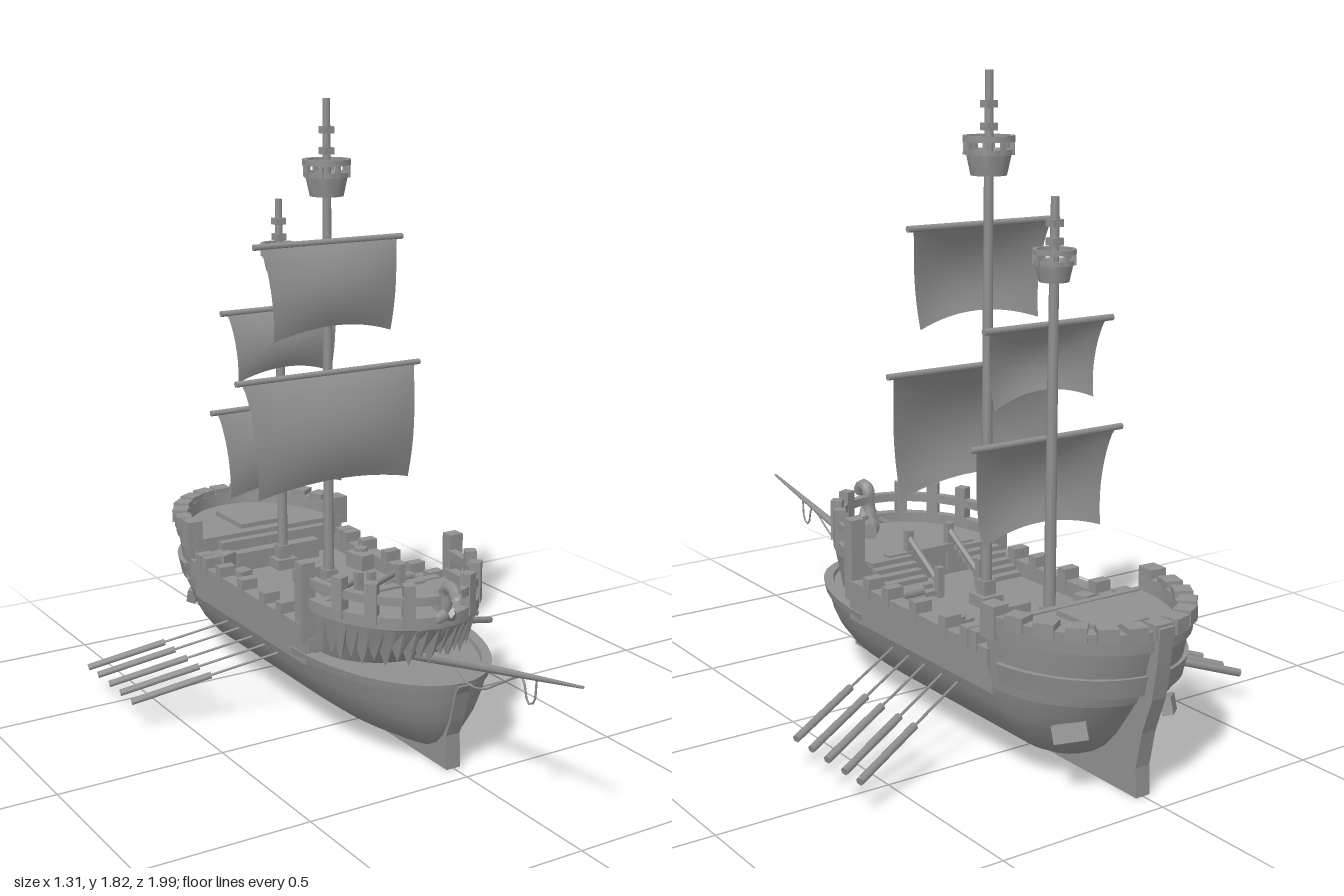
import * as THREE from 'three';
import { toCreasedNormals } from 'three/addons/utils/BufferGeometryUtils.js';

const grey = new THREE.MeshStandardMaterial({ color: 0x909090, side: THREE.DoubleSide });
grey.name = 'plain grey';
const PI = Math.PI, H = PI / 2;

export function createModel() {
  const ship = new THREE.Group();
  ship.name = 'sailingShip';

  const add = (name, geo, x = 0, y = 0, z = 0, parent = ship) => {
    const m = new THREE.Mesh(geo, grey);
    m.name = name;
    m.position.set(x, y, z);
    parent.add(m);
    return m;
  };
  const box = (name, w, h, d, x, y, z, ry = 0) => {
    const m = add(name, new THREE.BoxGeometry(w, h, d), x, y, z);
    m.rotation.y = ry;
    return m;
  };
  // straight bar between two points
  const bar = (name, a, b, r0, r1 = r0, sides = 8) => {
    const p = new THREE.Vector3(...a), q = new THREE.Vector3(...b);
    const m = add(name, new THREE.CylinderGeometry(r1, r0, p.distanceTo(q), sides));
    m.position.copy(p).lerp(q, 0.5);
    m.quaternion.setFromUnitVectors(new THREE.Vector3(0, 1, 0), q.sub(p).normalize());
    return m;
  };
  // part of an ellipse in plan; angle 0 points to the bow
  const arc = (w, d, zc, y, a0, a1, n = 24) => Array.from({ length: n + 1 }, (_, i) => {
    const a = a0 + (a1 - a0) * i / n;
    return [w * Math.sin(a), y, zc + d * Math.cos(a)];
  });
  // skin over rows of points
  const loft = (rows, crease = 0.6) => {
    const n = rows[0].length, idx = [];
    for (let j = 0; j < rows.length - 1; j++) for (let i = 0; i < n - 1; i++) {
      const a = j * n + i, b = a + 1, c = a + n, d = c + 1;
      idx.push(a, b, d, a, d, c);
    }
    const g = new THREE.BufferGeometry();
    g.setAttribute('position', new THREE.Float32BufferAttribute(rows.flat(2), 3));
    g.setIndex(idx);
    return toCreasedNormals(g, crease);
  };
  const floor = ring => loft([ring, ring.map(([, y, z]) => [0, y, z])]);
  // thick curved wall, leaning outward by lean
  const wall = (w, d, zc, y0, y1, t, lean, a0, a1) => loft(
    [[0, y0], [lean, y1], [lean - t, y1], [-t, y0], [0, y0]].map(([o, y]) => arc(w + o, d + o, zc, y, a0, a1)));

  // Hull: plan outlines stacked by height
  const ring = (y, w, zf, zb) => {
    const r = [...arc(w, zf, 0, y, -H, H), ...arc(w, -0.62 - zb, -0.62, y, H, 3 * H)];
    return [...r, r[0]];
  };
  const levels = [[0.03, 0.03, 0.31, -0.66], [0.04, 0.08, 0.35, -0.7], [0.065, 0.13, 0.39, -0.75], [0.1, 0.175, 0.42, -0.8],
    [0.15, 0.217, 0.445, -0.845], [0.2, 0.243, 0.46, -0.88], [0.26, 0.26, 0.475, -0.92]].map(l => ring(...l));
  add('hull', loft(levels, 1));
  add('hullBottom', floor(levels[0]));
  add('bowDeck', floor(levels[6]));
  add('bowRail', wall(0.265, 0.48, 0, 0.25, 0.273, 0.03, 0.005, -H, H));

  // Keel with stem and stern post
  const keel = new THREE.Shape([[0.49, 0.265], [0.475, 0.24], [0.45, 0.15], [0.43, 0.1], [0.435, 0], [-0.925, 0], [-0.92, 0.08],
    [-0.94, 0.18], [-0.975, 0.28], [-0.99, 0.38], [-1, 0.475], [-0.96, 0.475], [-0.93, 0.36], [-0.9, 0.24], [-0.84, 0.15],
    [-0.7, 0.04], [0.32, 0.04], [0.4, 0.1], [0.45, 0.265]].map(p => new THREE.Vector2(...p)));
  const kg = new THREE.ExtrudeGeometry(keel, { depth: 0.046, bevelEnabled: false });
  kg.rotateY(-H);
  add('keel', kg, 0.023, 0, 0);

  // Waist: deck, bulwarks and rail clamps
  box('mainDeck', 0.52, 0.04, 0.72, 0, 0.3, -0.28);
  for (const s of [-1, 1]) {
    box('bulwark', 0.025, 0.09, 0.7, s * 0.252, 0.285, -0.28);
    box('rail', 0.045, 0.055, 0.7, s * 0.258, 0.338, -0.28);
    for (const z of [-0.57, -0.53, -0.43, -0.29, -0.15, -0.05]) box('railClamp', 0.052, 0.055, 0.034, s * 0.258, 0.37, z);
  }

  // Stern castle
  const stern = [[0.255, 0.261, 0.3], [0.33, 0.27, 0.328], [0.42, 0.277, 0.352], [0.465, 0.28, 0.362]];
  add('sternWall', loft(stern.map(([y, w, d]) => arc(w, d, -0.62, y, H, 3 * H))));
  add('sternBelt', wall(0.275, 0.328, -0.62, 0.285, 0.34, 0.02, 0.012, H + 0.15, 3 * H - 0.15));
  add('sternRail', wall(0.283, 0.36, -0.62, 0.41, 0.465, 0.045, 0.004, H, 3 * H));
  add('sternDeck', floor(arc(0.276, 0.35, -0.62, 0.425, H, 3 * H)));
  box('sternBulkhead', 0.53, 0.13, 0.02, 0, 0.365, -0.62);
  for (let i = 0; i <= 12; i++) {
    const a = H + 0.06 + (PI - 0.12) * i / 12, end = i === 0 || i === 12;
    box('sternBattlement', 0.055, end ? 0.09 : 0.04, 0.05, 0.267 * Math.sin(a), end ? 0.445 : 0.462,
      -0.62 + 0.345 * Math.cos(a), a);
  }
  box('sternHatch', 0.16, 0.016, 0.18, 0, 0.432, -0.75);
  box('sternBench', 0.38, 0.03, 0.035, 0, 0.4, -0.6);
  box('sternStep', 0.3, 0.06, 0.04, 0, 0.35, -0.575);
  for (const s of [-1, 1]) {
    const hatch = box('sternPort', 0.09, 0.045, 0.03, s * 0.165, 0.18, -0.83, s * -0.75);
    hatch.rotation.x = 0.3;
  }

  // Forecastle with a ragged trim under its overhang
  const fore = [[0.265, 0.205, 0.19], [0.31, 0.222, 0.23], [0.36, 0.238, 0.28], [0.41, 0.247, 0.32], [0.43, 0.25, 0.33]];
  add('forecastleWall', loft(fore.map(([y, w, d]) => arc(w, d, 0.06, y, -H, H))));
  const trimTop = arc(0.253, 0.325, 0.06, 0.4, -H, H, 48);
  const trimLow = arc(0.238, 0.275, 0.06, 0.34, -H, H, 48).map(([x, y, z], i) => [x, y - [0, 0.045, 0.015, 0.06][i % 4], z]);
  add('raggedTrim', loft([trimLow, trimTop]));
  add('forecastleRim', wall(0.255, 0.335, 0.06, 0.405, 0.44, 0.03, 0, -H, H));
  add('forecastleDeck', floor(arc(0.245, 0.315, 0.06, 0.41, -H, H)));
  add('forecastleHandrail', wall(0.252, 0.335, 0.06, 0.475, 0.5, 0.025, 0, -H, H));
  box('forecastleBulkhead', 0.48, 0.14, 0.02, 0, 0.34, 0.06);
  for (const s of [-1, 1]) {
    box('cornerPost', 0.045, 0.24, 0.04, s * 0.255, 0.425, 0.055);
    for (const a of [0.42, 0.8, 1.15]) {
      box('railPost', 0.034, 0.12, 0.034, s * 0.243 * Math.sin(a), 0.475, 0.06 + 0.322 * Math.cos(a), s * a);
    }
    // stairs down to the waist
    for (let i = 0; i < 6; i++) box('stairTread', 0.14, 0.014, 0.028, s * 0.15, 0.335 + i * 0.014, -0.1 + i * 0.026);
    bar('stairRail', [s * 0.072, 0.36, -0.11], [s * 0.072, 0.46, 0.05], 0.009);
    box('stairPost', 0.022, 0.1, 0.022, s * 0.072, 0.36, -0.11);
    box('stairPost', 0.022, 0.14, 0.022, s * 0.072, 0.41, 0.05);
  }
  box('stairLanding', 0.3, 0.016, 0.03, 0, 0.41, 0.05);

  // Curled figurehead and bowsprit with slack rope
  const tube = (name, pts, r) => add(name, new THREE.TubeGeometry(
    new THREE.CatmullRomCurve3(pts.map(([y, z]) => new THREE.Vector3(0, y, z))), 28, r, 7));
  tube('figurehead', [[0.29, 0.27], [0.37, 0.35], [0.46, 0.385], [0.515, 0.39], [0.525, 0.42], [0.5, 0.44]], 0.02);
  for (const s of [-1, 1]) bar('figureheadWing', [0, 0.45, 0.4], [s * 0.11, 0.35, 0.31], 0.02, 0.004);
  bar('bowsprit', [0, 0.272, 0.22], [0, 0.435, 0.985], 0.02, 0.004);
  tube('bowspritRope', [[0.39, 0.8], [0.325, 0.79], [0.315, 0.765], [0.375, 0.74], [0.33, 0.65], [0.285, 0.57], [0.275, 0.5],
    [0.31, 0.43]], 0.003);

  // Masts with lookout baskets
  const mast = (z, top, nestY, r) => {
    bar('mast', [0, 0.31, z], [0, nestY + 0.02, z], 0.017, 0.013, 8);
    bar('topMast', [0, nestY, z], [0, top, z], 0.013, 0.011, 8);
    box('mastFoot', 0.07, 0.035, 0.07, 0, 0.335, z);
    box('mastCollar', 0.04, 0.07, 0.04, 0, 0.36, z);
    for (const d of [0.13, 0.19]) box('topMastCollar', 0.034, 0.02, 0.034, 0, nestY + d * r / 0.07, z);
    const k = r / 0.07;
    const cup = [[0, 0], [0.05, 0], [0.062, 0.055], [0.066, 0.055], [0.066, 0.07], [0.056, 0.07], [0.045, 0.015], [0, 0.015]]
      .map(([x, y]) => new THREE.Vector2(x * k, y * k));
    add('lookoutBasket', toCreasedNormals(new THREE.LatheGeometry(cup, 16), 0.6), 0, nestY, z);
    const rail = [[0.06, 0.09], [0.072, 0.09], [0.072, 0.107], [0.06, 0.107], [0.06, 0.09]]
      .map(([x, y]) => new THREE.Vector2(x * k, y * k));
    add('lookoutRail', toCreasedNormals(new THREE.LatheGeometry(rail, 16), 0.6), 0, nestY, z);
    for (let i = 0; i < 8; i++) {
      const a = i * PI / 4;
      box('lookoutPost', 0.012, 0.05 * k, 0.012, 0.064 * k * Math.sin(a), nestY + 0.08 * k, z + 0.064 * k * Math.cos(a), a);
    }
  };
  mast(-0.24, 1.815, 1.535, 0.07);
  mast(-0.53, 1.5, 1.28, 0.056);

  // Billowing sails below their yards
  const sail = (z, yTop, yBottom, wTop, wBottom, belly) => {
    const rows = [];
    for (let j = 0; j <= 12; j++) {
      const v = 1 - j / 12, row = [];
      for (let i = 0; i <= 16; i++) {
        const u = i / 8 - 1, k = Math.pow(v, 0.6);
        row.push([u * (wBottom + (wTop - wBottom) * (1 - k)), yTop + (yBottom - yTop) * v + 0.035 * v * (1 - u * u),
          z + 0.015 + belly * Math.pow(Math.sin(PI * v * 0.82), 0.8) * (0.55 + 0.45 * (1 - u * u))]);
      }
      rows.push(row);
    }
    add('sail', loft(rows, 1));
    bar('yard', [-wTop - 0.018, yTop, z + 0.015], [wTop + 0.018, yTop, z + 0.015], 0.009);
  };
  sail(-0.24, 1.012, 0.66, 0.3, 0.262, 0.072);
  sail(-0.24, 1.403, 1.125, 0.235, 0.2, 0.055);
  sail(-0.53, 0.86, 0.585, 0.235, 0.2, 0.055);
  sail(-0.53, 1.165, 0.95, 0.195, 0.165, 0.048);

  // Oars, five a side
  for (const s of [-1, 1]) for (const z of [-0.285, -0.365, -0.445, -0.53, -0.603]) {
    bar('oarShaft', [s * 0.22, 0.215, z + 0.166], [s * 0.43, 0.153, z + 0.085], 0.004, 0.004, 6);
    bar('oarBlade', [s * 0.43, 0.153, z + 0.085], [s * 0.65, 0.087, z], 0.0115, 0.0115, 6);
  }

  // Deck cargo
  box('deckHatch', 0.09, 0.04, 0.03, 0, 0.34, -0.375);
  box('crate', 0.06, 0.07, 0.06, -0.195, 0.355, -0.57, 0.4);
  box('crate', 0.045, 0.05, 0.045, -0.195, 0.345, -0.44, 0.2);
  box('crate', 0.05, 0.05, 0.08, 0.205, 0.345, -0.39, 0.15);
  add('barrel', new THREE.CylinderGeometry(0.022, 0.022, 0.06, 12), 0.22, 0.35, -0.41);
  bar('cannon', [0.15, 0.36, -0.13], [0.24, 0.36, -0.14], 0.02, 0.014);
  box('cannonCarriage', 0.06, 0.03, 0.04, 0.18, 0.335, -0.135);
  bar('deckKeg', [0.05, 0.43, 0.29], [0.09, 0.43, 0.24], 0.025, 0.025, 12);
  return ship;
}
